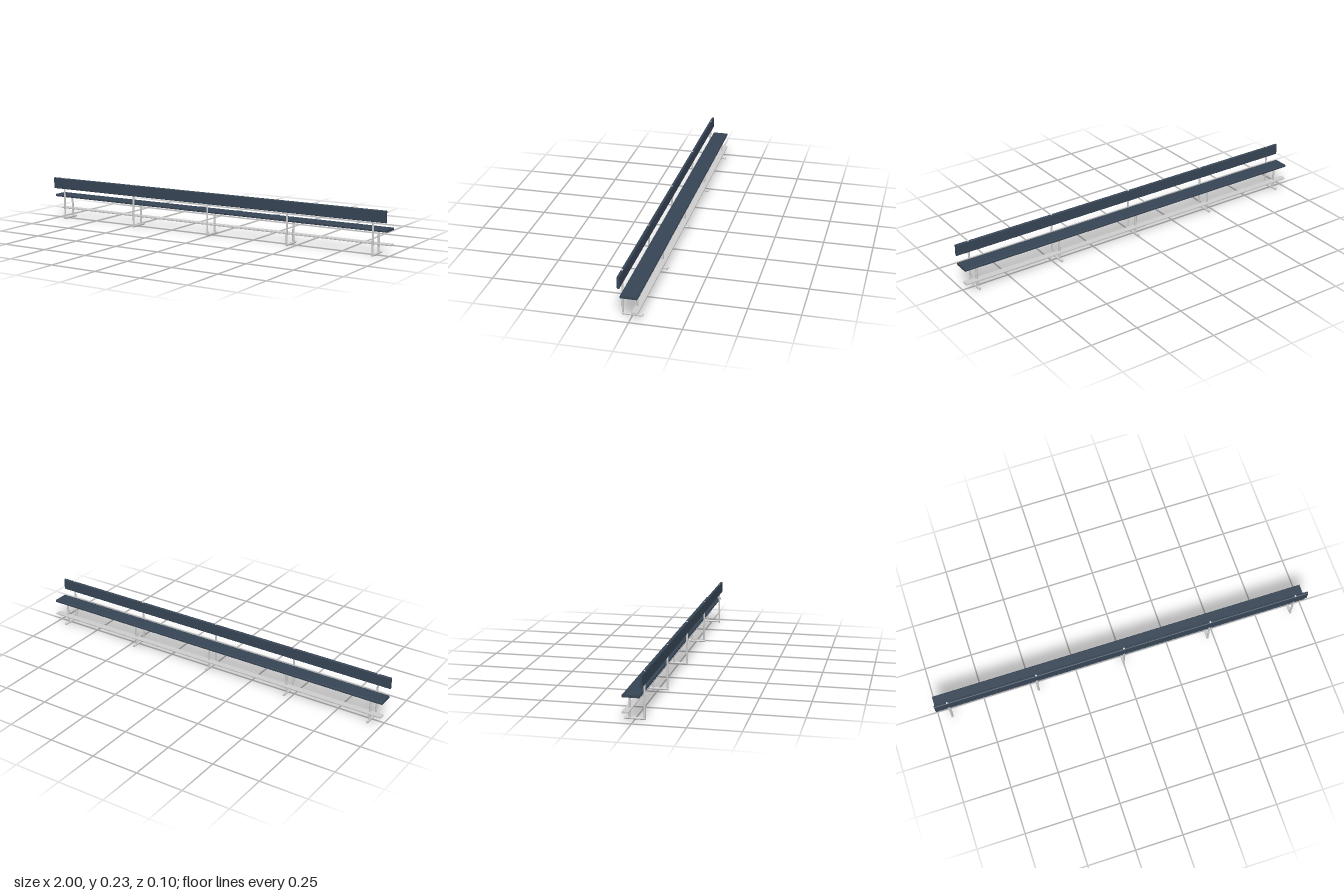
import * as THREE from 'three';

const steel = new THREE.MeshStandardMaterial({ color: 0xcccccc });
const navy = new THREE.MeshStandardMaterial({ color: 0x364454 });

// Full-length board with a rounded cross-section, extruded along x
function board(name, material, y, z, height, depth, radius) {
  const w = depth / 2, h = height / 2, r = radius;
  const s = new THREE.Shape();
  s.moveTo(-w + r, -h);
  s.lineTo(w - r, -h);
  s.absarc(w - r, -h + r, r, -Math.PI / 2, 0);
  s.absarc(w - r, h - r, r, 0, Math.PI / 2);
  s.absarc(-w + r, h - r, r, Math.PI / 2, Math.PI);
  s.absarc(-w + r, -h + r, r, Math.PI, Math.PI * 1.5);
  const geometry = new THREE.ExtrudeGeometry(s, { depth: 2, bevelEnabled: false, curveSegments: 5 });
  geometry.translate(0, 0, -1);
  geometry.rotateY(Math.PI / 2);
  const mesh = new THREE.Mesh(geometry, material);
  mesh.name = name;
  mesh.position.set(0, y, z);
  return mesh;
}

// Round steel tube between two points in the y-z plane
function tube(name, radius, [y0, z0], [y1, z1]) {
  const a = new THREE.Vector3(0, y0, z0), b = new THREE.Vector3(0, y1, z1);
  const dir = b.clone().sub(a);
  const mesh = new THREE.Mesh(new THREE.CylinderGeometry(radius, radius, dir.length(), 16), steel);
  mesh.name = name;
  mesh.position.copy(a).add(b).multiplyScalar(0.5);
  mesh.quaternion.setFromUnitVectors(new THREE.Vector3(0, 1, 0), dir.normalize());
  return mesh;
}

// One support: tall back post, floor bar and seat leg
function supportFrame(x) {
  const frame = new THREE.Group();
  frame.name = 'supportFrame';
  frame.add(
    tube('backPost', 0.005, [0.002, 0.045], [0.231, 0.045]),
    tube('floorBar', 0.006, [0.006, 0.05], [0.006, -0.05]),
    tube('seatLeg', 0.0055, [0.006, -0.0235], [0.124, -0.0235])
  );
  frame.position.x = x;
  return frame;
}

export function createModel() {
  const bench = new THREE.Group();
  bench.name = 'longBench';
  bench.add(
    board('backrest', navy, 0.199, 0.045, 0.06, 0.013, 0.004),
    board('seat', navy, 0.128, -0.002, 0.013, 0.083, 0.004),
    board('footRail', steel, 0.051, -0.0285, 0.008, 0.032, 0.002)
  );
  for (let i = -2; i <= 2; i++) bench.add(supportFrame(i * 0.466));
  return bench;
}
